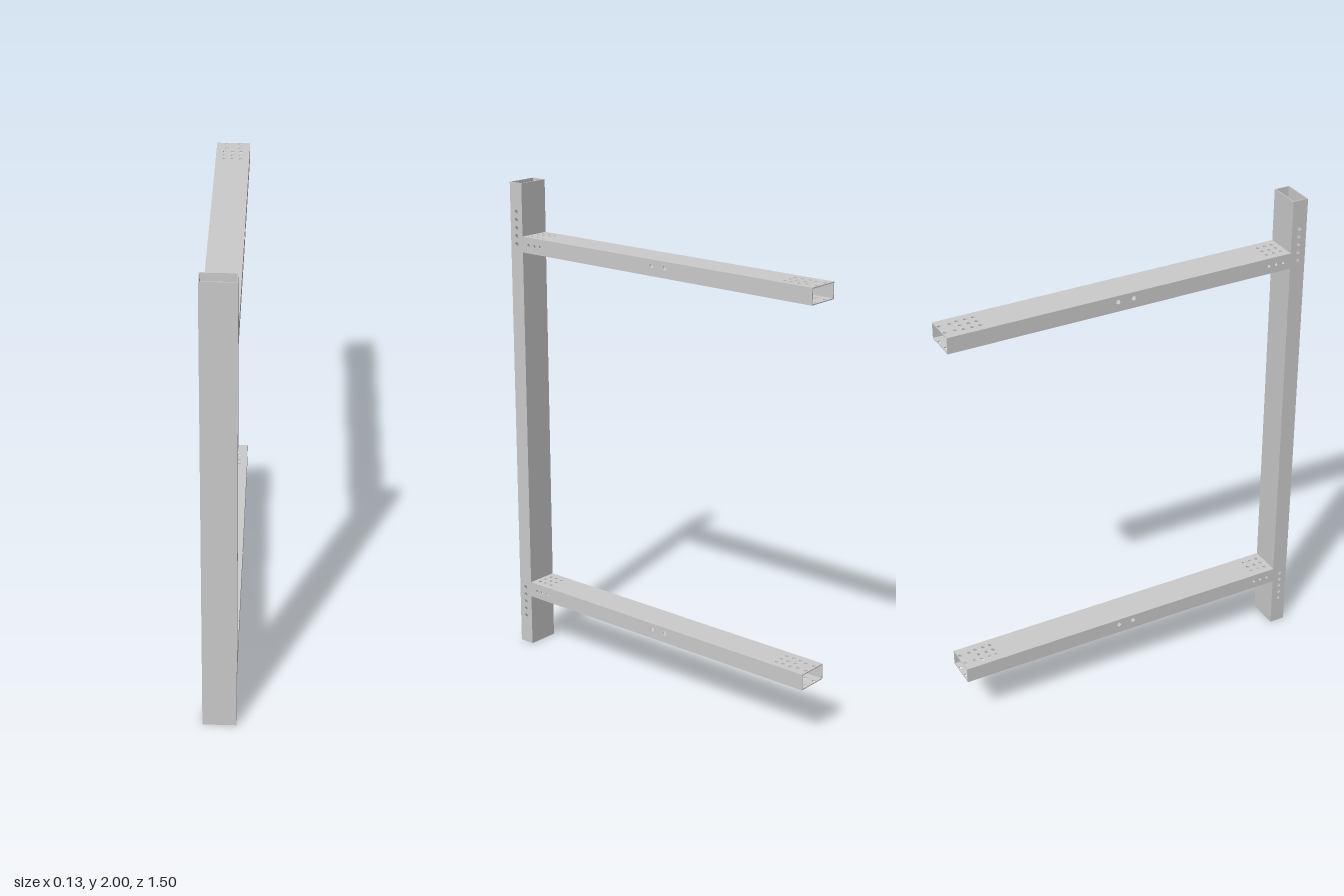
import * as THREE from 'three';

const material = new THREE.MeshStandardMaterial({ color: 0xcccccc });
const WIDTH = 0.134, DEPTH = 0.065, WALL = 0.004;

// Flat wall from (0 centred) u and v = 0..length, with round holes [u, v, radius]
function plate(width, length, holes) {
  const w = width / 2;
  const shape = new THREE.Shape();
  shape.moveTo(-w, 0).lineTo(w, 0).lineTo(w, length).lineTo(-w, length).closePath();
  for (const [u, v, r] of holes) {
    shape.holes.push(new THREE.Path().absarc(u, v, r, 0, Math.PI * 2, true));
  }
  return new THREE.ExtrudeGeometry(shape, { depth: WALL, bevelEnabled: false, curveSegments: 12 })
    .translate(0, 0, -WALL / 2);
}

// Open-ended rectangular tube along +y, holes drilled through both opposite walls
function tube(name, length, broadHoles, sideHoles) {
  const group = new THREE.Group();
  group.name = name;
  const broad = plate(WIDTH - 2 * WALL, length, broadHoles);
  const side = plate(DEPTH, length, sideHoles).rotateY(-Math.PI / 2);
  for (const s of [-1, 1]) {
    const face = new THREE.Mesh(broad, material);
    face.name = 'broadWall';
    face.position.z = s * (DEPTH - WALL) / 2;
    const edge = new THREE.Mesh(side, material);
    edge.name = 'sideWall';
    edge.position.x = s * (WIDTH - WALL) / 2;
    group.add(face, edge);
  }
  return group;
}

export function createModel() {
  const model = new THREE.Group();
  model.name = 'frame';
  const joint = 0.685;

  // Upright post with a row of five side holes at each arm
  const postHoles = [];
  for (let i = 0; i < 5; i++) {
    postHoles.push([0, 0.122 + i * 0.033, 0.008], [0, 1.75 + i * 0.033, 0.008]);
  }
  const post = tube('post', 2, [], postHoles);
  post.position.z = 0.7175;
  model.add(post);

  // Hole patterns of the arms, v measured back from the post
  const broadHoles = [];
  for (const z of [0.66, 0.629, 0.597, -0.605, -0.636, -0.67]) {
    for (const x of [-0.033, 0, 0.033]) broadHoles.push([x, joint - z, 0.007]);
  }
  for (const z of [-0.70, -0.739]) {
    for (const x of [-0.027, 0.027]) broadHoles.push([x, joint - z, 0.007]);
  }
  const sideHoles = [0.652, 0.62, 0.588].map(z => [0, joint - z, 0.006]);
  for (const z of [0, -0.065]) sideHoles.push([0.007, joint - z, 0.009]);

  // Two arms reaching back from the post
  for (const [name, y] of [['lowerArm', 0.2525], ['upperArm', 1.7525]]) {
    const arm = tube(name, joint + 0.75, broadHoles, sideHoles);
    arm.rotation.x = -Math.PI / 2;
    arm.position.set(0, y, joint);
    model.add(arm);
  }
  return model;
}
